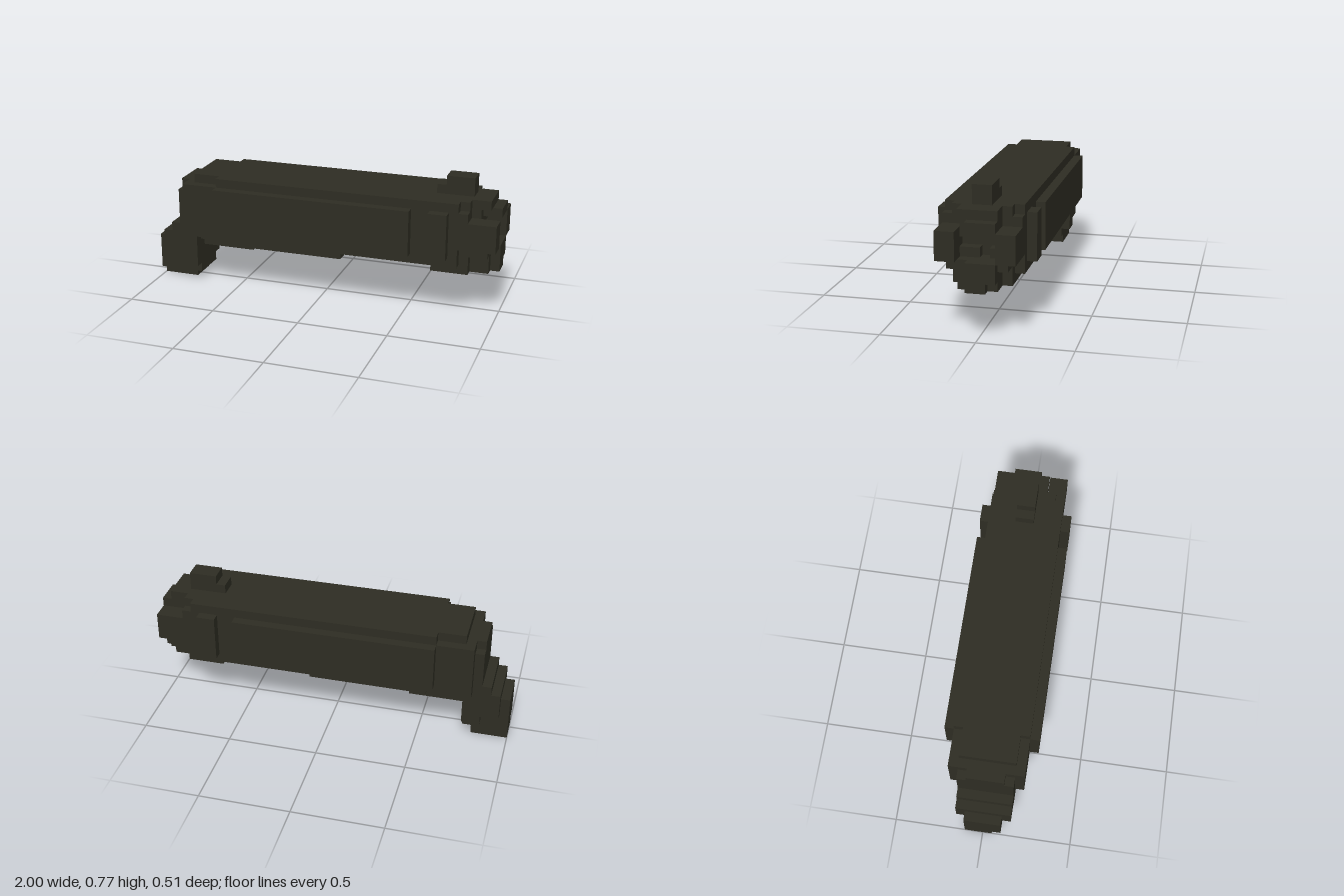
import * as THREE from 'three';

const U = 2 / 39; // one block unit

export function createModel() {
  const model = new THREE.Group();
  const olive = new THREE.MeshStandardMaterial({ color: 0x2e2d23 });
  olive.name = 'dark olive';

  // Box from block limits: x counted from the rear end, y from the ground, z from the middle
  function block(name, x0, x1, y0, y1, z0, z1) {
    const geo = new THREE.BoxGeometry((x1 - x0) * U, (y1 - y0) * U, (z1 - z0) * U);
    const mesh = new THREE.Mesh(geo, olive);
    mesh.position.set((x0 + x1) / 2 * U - 1, (y0 + y1) / 2 * U, (z0 + z1) / 2 * U);
    mesh.name = name;
    model.add(mesh);
  }
  const centred = (name, x0, x1, y0, y1, half) => block(name, x0, x1, y0, y1, -half, half);
  function pair(name, x0, x1, y0, y1, z0, z1) {
    block(name + 'Left', x0, x1, y0, y1, z0, z1);
    block(name + 'Right', x0, x1, y0, y1, -z1, -z0);
  }

  // Long main body with stepped rear
  centred('body', 4, 35, 6, 12, 4);
  centred('bodyTop', 8, 35, 12, 13, 4);
  centred('bodyTopRear', 5, 8, 12, 13, 3);
  centred('rearPlate', 3, 4, 6, 11, 3);
  centred('rearPlateTop', 3, 4, 11, 12, 2);

  // Raised side panels and front clamps
  pair('sidePanel', 8, 30, 7, 12, 4, 5);
  pair('clamp', 32, 34, 7, 12, 4, 5);

  // Underside rails
  centred('underRailRear', 5, 9, 5, 6, 2);
  centred('underRail', 9, 22, 5, 6, 3);
  block('underBlock', 5, 11, 4, 5, -2, 1);

  // Angled rear grip
  centred('gripUpper', 3, 5, 2, 7, 3);
  centred('gripShoulder', 2, 3, 3, 7, 3);
  centred('gripBack', 1, 2, 3, 6, 3);
  centred('gripHeel', 0, 3, 1, 5, 2);
  centred('gripLower', 0, 5, 1, 2, 2);
  block('gripFoot', 0, 4, 0, 1, -2, 1);

  // Front collar and stepped end
  centred('collar', 32, 36, 5, 13, 3);
  centred('collarSides', 35, 36, 8, 12, 4);
  centred('endTop', 36, 38, 12, 13, 2);
  block('endLip', 36, 39, 11, 12, -2, 1);
  centred('endInner', 36, 37, 10, 12, 2);
  block('endLugLeft', 36, 37, 8, 9, 0, 2);
  block('endLugRight', 36, 37, 8, 9, -2, -1);
  centred('endLower', 36, 38, 5, 8, 2);
  pair('endCheek', 36, 38, 7, 8, 2, 3);
  pair('endEar', 36, 39, 8, 11, 2, 4);
  block('endJaw', 36, 39, 6, 8, -2, 1);
  block('endJawTip', 38, 39, 5, 6, -1, 1);

  // Top sight
  centred('sightStep', 32, 36, 13, 14, 1);
  centred('sight', 33, 36, 14, 15, 1);

  return model;
}
